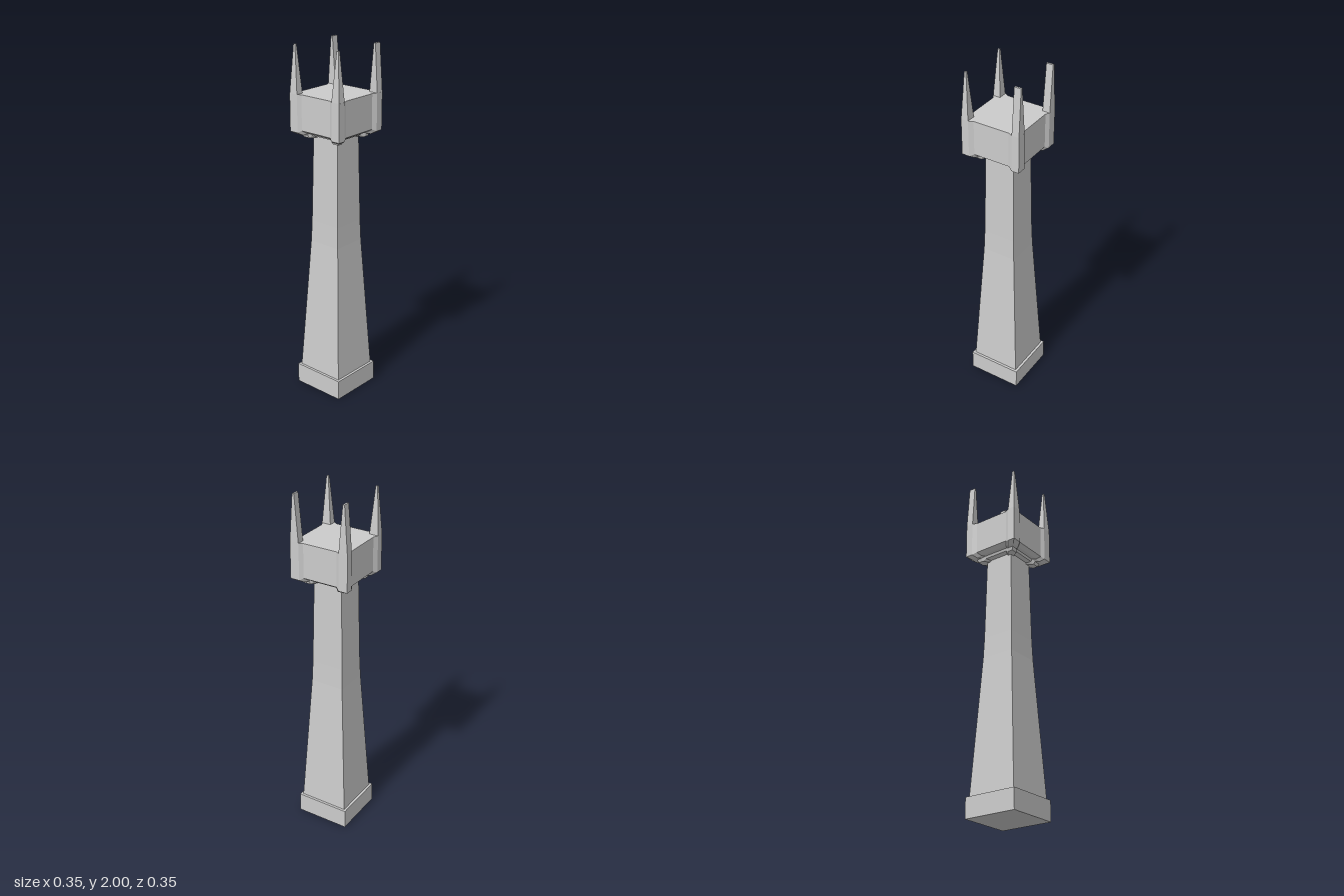
import * as THREE from 'three';

const material = new THREE.MeshStandardMaterial({ color: 0xcccccc, flatShading: true });

// Closed solid through a stack of rings (bottom to top), each a loop of [x, y, z] running from +x towards +z
function loft(name, rings) {
  const n = rings[0].length, pos = [];
  const tri = (...pts) => pts.forEach(p => pos.push(...p));
  const centre = ring => [0, 1, 2].map(k => ring.reduce((s, p) => s + p[k], 0) / n);
  for (let i = 0; i < rings.length - 1; i++) {
    for (let j = 0; j < n; j++) {
      const k = (j + 1) % n, lo = rings[i], hi = rings[i + 1];
      tri(lo[j], hi[j], lo[k]);
      tri(lo[k], hi[j], hi[k]);
    }
  }
  const bottom = rings[0], top = rings[rings.length - 1];
  const cb = centre(bottom), ct = centre(top);
  for (let j = 0; j < n; j++) {
    const k = (j + 1) % n;
    tri(cb, bottom[j], bottom[k]);
    tri(ct, top[k], top[j]);
  }
  const geo = new THREE.BufferGeometry();
  geo.setAttribute('position', new THREE.Float32BufferAttribute(pos, 3));
  geo.computeVertexNormals();
  const mesh = new THREE.Mesh(geo, material);
  mesh.name = name;
  return mesh;
}

// Rectangular ring
const rect = (x0, x1, z0, z1, y) => [[x1, y, z0], [x1, y, z1], [x0, y, z1], [x0, y, z0]];
const square = (h, y) => rect(-h, h, -h, h, y);

// Head plan: square with projecting corner posts; the corners may hang lower than the sides
const cornerPlan = [[0.16, 0.105], [0.173, 0.13], [0.173, 0.173], [0.12, 0.173], [0.10, 0.16]];
function headRing(scale, y, drop = 0) {
  const ring = [];
  for (const [sx, sz] of [[1, 1], [-1, 1], [-1, -1], [1, -1]]) {
    const pts = sx * sz > 0 ? cornerPlan : [...cornerPlan].reverse();
    pts.forEach(([x, z], i) => {
      const onPost = i > 0 && i < 4;
      ring.push([sx * x * scale, y - (onPost ? drop : 0), sz * z * scale]);
    });
  }
  return ring;
}

export function createModel() {
  const tower = new THREE.Group();
  tower.name = 'tower';

  // Plinth
  const plinth = new THREE.Mesh(new THREE.BoxGeometry(0.314, 0.115, 0.314), material);
  plinth.position.y = 0.0575;
  plinth.name = 'plinth';
  tower.add(plinth);

  // Tapering shaft
  tower.add(loft('shaft', [
    square(0.143, 0.11), square(0.098, 0.9), square(0.094, 1.02), square(0.085, 1.53),
  ]));

  // Collar under the head
  tower.add(loft('collar', [
    headRing(0.6, 1.51, 0.01), headRing(0.7, 1.515, 0.015), headRing(0.74, 1.535, 0.015),
  ]));

  // Head with chamfered underside
  tower.add(loft('head', [
    headRing(0.78, 1.53, 0.012), headRing(0.86, 1.53, 0.012), headRing(1, 1.545, 0.012), headRing(1, 1.74),
  ]));

  // Corner spikes: front pair come to a point, back pair to a blade edge
  for (const sx of [1, -1]) {
    const side = sx > 0 ? 'Left' : 'Right';
    const xs = (a, b) => (sx > 0 ? [a, b] : [-b, -a]);
    const base = xs(0.12, 0.173), tip = xs(0.143, 0.154);
    tower.add(loft('front' + side + 'Spike', [
      rect(...base, 0.13, 0.173, 1.735), rect(...tip, 0.147, 0.158, 2),
    ]));
    tower.add(loft('back' + side + 'Spike', [
      rect(...base, -0.173, -0.13, 1.735), rect(...tip, -0.171, -0.132, 2),
    ]));
  }
  return tower;
}
